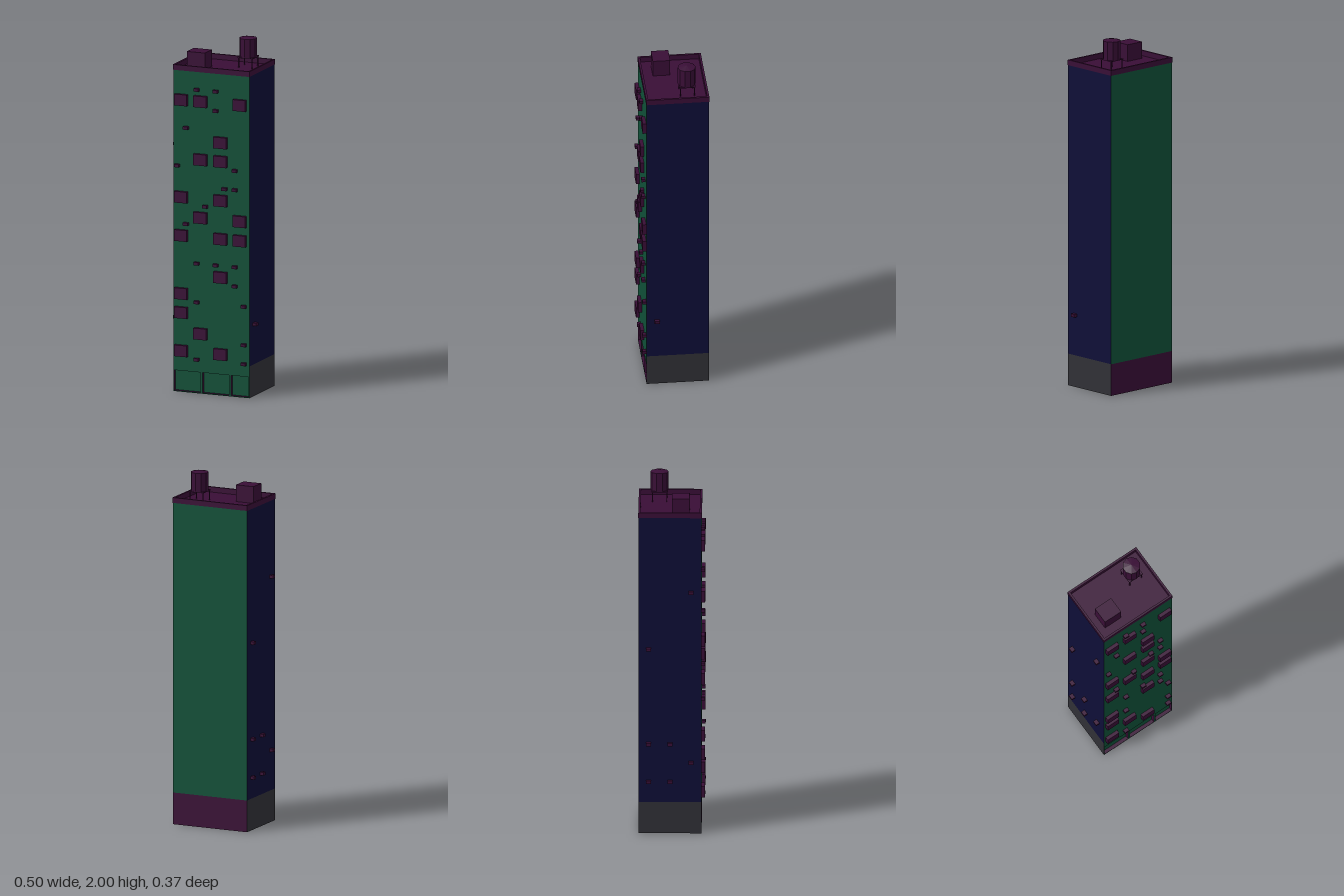
import * as THREE from 'three';

const mat = (name, color, side = THREE.FrontSide) => {
  const m = new THREE.MeshStandardMaterial({ color, side });
  m.name = name;
  return m;
};

export function createModel() {
  const D = THREE.DoubleSide;
  const green = mat('green wall', 0x105038, D);
  const purple = mat('dark purple', 0x390e36, D);
  const navy = mat('navy wall', 0x0e0e37, D);
  const grey = mat('grey base', 0x303036, D);

  const X = 0.23, ZF = 0.163, ZB = -0.185, ZC = (ZF + ZB) / 2, DEPTH = ZF - ZB;
  const BASE = 0.18, WALL = 1.825, TOP = 1.855;
  const model = new THREE.Group();
  model.name = 'towerBlock';

  const add = (name, geo, m, x, y, z, parent = model) => {
    const mesh = new THREE.Mesh(geo, m);
    mesh.name = name;
    mesh.position.set(x, y, z);
    parent.add(mesh);
    return mesh;
  };
  const group = (name) => {
    const g = new THREE.Group();
    g.name = name;
    model.add(g);
    return g;
  };
  // box given by its lower and upper corners
  const box = (name, m, [x0, y0, z0], [x1, y1, z1], parent) =>
    add(name, new THREE.BoxGeometry(x1 - x0, y1 - y0, z1 - z0), m,
      (x0 + x1) / 2, (y0 + y1) / 2, (z0 + z1) / 2, parent);

  // Front wall, with three shop openings cut out
  const rect = (P, x0, y0, x1, y1) => {
    const p = new P();
    p.moveTo(x0, y0).lineTo(x1, y0).lineTo(x1, y1).lineTo(x0, y1).closePath();
    return p;
  };
  const front = rect(THREE.Shape, -X, 0, X, WALL);
  const openings = [[-0.226, -0.066], [-0.053, 0.107], [0.12, 0.226]];
  const y0 = 0.005, y1 = 0.12, inset = 0.02;
  const shops = group('shopFronts');
  for (const [a, b] of openings) {
    front.holes.push(rect(THREE.Path, a, y0, b, y1));
    const w = b - a, h = y1 - y0, cx = (a + b) / 2, cy = (y0 + y1) / 2;
    add('shopPanel', new THREE.PlaneGeometry(w, h), green, cx, cy, ZF - inset, shops);
    // reveals around each opening
    for (const x of [a, b])
      add('sideReveal', new THREE.PlaneGeometry(inset, h), purple, x, cy, ZF - inset / 2, shops)
        .rotation.y = x === a ? Math.PI / 2 : -Math.PI / 2;
    for (const y of [y0, y1])
      add('flatReveal', new THREE.PlaneGeometry(w, inset), purple, cx, y, ZF - inset / 2, shops)
        .rotation.x = y === y0 ? -Math.PI / 2 : Math.PI / 2;
  }
  add('frontWall', new THREE.ShapeGeometry(front), green, 0, 0, ZF);

  // Back and side walls, each with a differently coloured base; the bottom is open
  const wall = (name, w, lo, hi, m, x, z, turn) =>
    add(name, new THREE.PlaneGeometry(w, hi - lo), m, x, (lo + hi) / 2, z).rotation.y = turn;
  wall('backWall', 2 * X, BASE, WALL, green, 0, ZB, Math.PI);
  wall('backBase', 2 * X, 0, BASE, purple, 0, ZB, Math.PI);
  for (const s of [-1, 1]) {
    wall('sideWall', DEPTH, BASE, WALL, navy, s * X, ZC, s * Math.PI / 2);
    wall('sideBase', DEPTH, 0, BASE, grey, s * X, ZC, s * Math.PI / 2);
  }

  // Roof and parapet
  add('roof', new THREE.PlaneGeometry(2 * X, DEPTH), purple, 0, WALL, ZC).rotation.x = -Math.PI / 2;
  const o = 0.002, t = 0.01;
  const rim = rect(THREE.Shape, -X - o, -ZF - o, X + o, -ZB + o);
  rim.holes.push(rect(THREE.Path, -X + t, -ZF + t, X - t, -ZB - t));
  add('parapet', new THREE.ExtrudeGeometry(rim, { depth: TOP - WALL, bevelEnabled: false }),
    purple, 0, WALL, 0).rotation.x = -Math.PI / 2;
  box('roofHut', purple, [-0.177, WALL, 0], [-0.068, 1.92, 0.097]);

  // Water tank on a four-legged stand
  const tank = group('waterTank');
  tank.position.set(0.12, 0, -0.072);
  for (const x of [-0.04, 0.04])
    for (const z of [-0.04, 0.04])
      add('tankLeg', new THREE.BoxGeometry(0.005, 0.06, 0.005), purple, x, 1.855, z, tank);
  add('tankPlatform', new THREE.BoxGeometry(0.091, 0.006, 0.091), purple, 0, 1.883, 0, tank);
  const barrel = new THREE.CylinderGeometry(0.05, 0.05, 0.104, 10).toNonIndexed();
  const lid = new THREE.ConeGeometry(0.05, 0.01, 10).toNonIndexed();
  barrel.computeVertexNormals();
  lid.computeVertexNormals();
  add('tankBarrel', barrel, purple, 0, 1.938, 0, tank);
  add('tankLid', lid, purple, 0, 1.995, 0, tank);

  // Window boxes on the front, by column
  const windows = group('windowBoxes');
  const columns = [
    [-0.18, [1.66, 1.108, 0.89, 0.56, 0.452, 0.235]],
    [-0.063, [1.66, 1.33, 1.0, 0.341]],
    [0.058, [1.437, 1.33, 1.108, 0.89, 0.672, 0.235]],
    [0.175, [1.66, 1.0, 0.89]],
  ];
  const windowGeo = new THREE.BoxGeometry(0.077, 0.064, 0.02);
  for (const [x, ys] of columns)
    for (const y of ys) add('windowBox', windowGeo, purple, x, y, ZF + 0.01, windows);

  // Small cooling units on the front
  const units = group('coolingUnits');
  const small = [
    [-0.204, [1.285]], [-0.151, [1.503, 0.957]], [-0.087, [1.725, 0.738, 0.518, 0.192]],
    [-0.034, [1.066]], [0.029, [1.725, 1.615, 0.738]], [0.082, [1.176]],
    [0.145, [1.285, 1.176, 0.738, 0.629]], [0.198, [0.518, 0.3, 0.192]],
  ];
  const unitGeo = new THREE.BoxGeometry(0.028, 0.017, 0.02);
  for (const [x, ys] of small)
    for (const y of ys) add('frontUnit', unitGeo, purple, x, y, ZF + 0.01, units);

  // Small cooling units on the sides: side, height, depth
  const sideGeo = new THREE.BoxGeometry(0.022, 0.017, 0.028);
  const sides = [
    [-1, 1.395, 0.105], [-1, 1.066, -0.13], [-1, 0.518, -0.13], [-1, 0.518, -0.012],
    [-1, 0.41, 0.105], [-1, 0.3, -0.012], [-1, 0.3, -0.13], [1, 0.41, 0.105],
  ];
  for (const [s, y, z] of sides) add('sideUnit', sideGeo, purple, s * (X + 0.011), y, z, units);

  return model;
}
